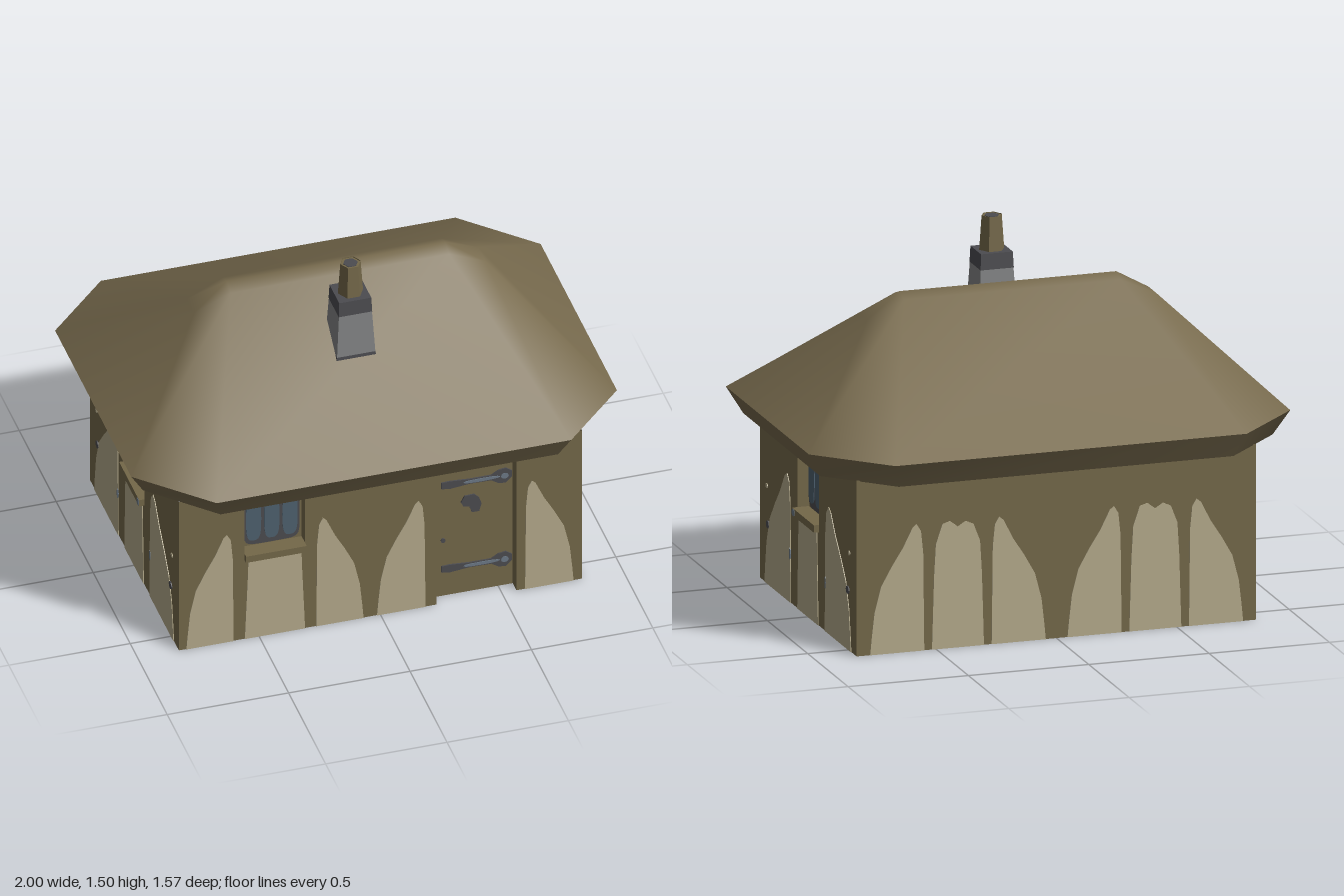
import * as THREE from 'three';
import { toCreasedNormals } from 'three/addons/utils/BufferGeometryUtils.js';

const mat = (name, color) => new THREE.MeshStandardMaterial({ name, color, side: THREE.DoubleSide });

export function createModel() {
  const M = {
    thatch: mat('thatch brown', 0x786b4e),
    timber: mat('timber brown', 0x746849),
    plaster: mat('pale plaster', 0xb4aa8b),
    stone: mat('grey stone', 0x828384),
    dark: mat('dark iron', 0x4c4c50),
    glass: mat('blue glass', 0x4e616f),
    steel: mat('worn steel', 0x6c7986),
  };
  const house = new THREE.Group();
  house.name = 'cottage';

  const add = (parent, name, geo, material, x = 0, y = 0, z = 0) => {
    const m = new THREE.Mesh(geo, material);
    m.name = name;
    m.position.set(x, y, z);
    parent.add(m);
    return m;
  };
  const shapeOf = (pts) => new THREE.Shape(pts.map(([x, y]) => new THREE.Vector2(x, y)));
  // thin plate centred on its plane, so it shows on both sides
  const plate = (pts, t = 0.006) =>
    new THREE.ExtrudeGeometry(shapeOf(pts), { depth: t, bevelEnabled: false }).translate(0, 0, -t / 2);
  // rounded-rectangle outline (superellipse)
  const blob = (cx, cy, rx, ry, p = 0.6, n = 24) =>
    Array.from({ length: n }, (_, i) => {
      const a = (i / n) * Math.PI * 2, c = Math.cos(a), s = Math.sin(a);
      return [cx + rx * Math.sign(c) * Math.abs(c) ** p, cy + ry * Math.sign(s) * Math.abs(s) ** p];
    });

  // ---- walls -------------------------------------------------------------
  const WALL_TOP = 0.72, RECESS = 0.05;

  const recess = (wall, name, x0, x1, y0, y1, openBottom) => {
    const g = new THREE.BoxGeometry(x1 - x0, y1 - y0, RECESS);
    // drop the front face, and the bottom one for the doorway
    g.setIndex([...g.index.array].filter((_, i) => !(i >= 24 && i < 30) && !(openBottom && i >= 18 && i < 24)));
    g.clearGroups();
    add(wall, name, g, M.timber, (x0 + x1) / 2, (y0 + y1) / 2, -RECESS / 2);
  };

  const addWindow = (wall, cx, w) => {
    recess(wall, 'windowRecess', cx - w / 2, cx + w / 2, 0.39, 0.68);
    add(wall, 'windowSill', new THREE.BoxGeometry(w, 0.03, 0.07), M.timber, cx, 0.398, -0.013);
    add(wall, 'windowLeading', plate(blob(cx, 0.538, w * 0.46, 0.12, 0.3)), M.dark, 0, 0, -RECESS + 0.004);
    for (const s of [-1, 0, 1])
      add(wall, 'windowPane', plate(blob(cx + s * w * 0.3, 0.54, w * 0.125, 0.1)), M.glass, 0, 0, -RECESS + 0.008);
  };

  // outer plaster field: steep inner edge, long curved outer edge
  const FIELD = [[0, 0], [0.02, 0.4], [0.06, 0.49], [0.14, 0.52], [0.22, 0.505], [0.4, 0.425],
    [0.6, 0.355], [0.8, 0.275], [0.92, 0.17], [0.97, 0.07], [1, 0]];
  const addPlaster = (wall, cx, inner, outer, midHalf, underWindow) => {
    for (const s of [-1, 1])
      add(wall, 'plasterField', plate(FIELD.map(([u, y]) => [cx + s * (inner + u * (outer - inner)), y])), M.plaster);
    if (!midHalf) return;
    const top = underWindow
      ? [[0.9, 0.3], [0.88, 0.385], [-0.88, 0.385], [-0.9, 0.3]]
      : [[0.92, 0.3], [0.85, 0.43], [0.6, 0.5], [0.3, 0.515], [0, 0.495], [-0.3, 0.52], [-0.6, 0.51], [-0.85, 0.43], [-0.92, 0.3]];
    add(wall, 'plasterMiddle', plate([[-1, 0], [1, 0], ...top].map(([u, y]) => [cx + u * midHalf, y])), M.plaster);
  };

  const addWall = (name, half, x, z, turn, { windows = [], door }) => {
    const wall = new THREE.Group();
    wall.name = name;
    wall.position.set(x, 0, z);
    wall.rotation.y = turn;
    house.add(wall);
    const notch = door ? [[door[0], 0], [door[0], door[2]], [door[1], door[2]], [door[1], 0]] : [];
    const s = shapeOf([[-half, 0], ...notch, [half, 0], [half, WALL_TOP], [-half, WALL_TOP]]);
    for (const [c, w] of windows) {
      const a = c - w / 2, b = c + w / 2;
      s.holes.push(shapeOf([[a, 0.39], [a, 0.68], [b, 0.68], [b, 0.39]]));
    }
    add(wall, 'wallTimber', new THREE.ShapeGeometry(s), M.timber);
    windows.forEach(([c, w]) => addWindow(wall, c, w));
    return wall;
  };

  const front = addWall('frontWall', 0.83, 0, 0.6, 0, { windows: [[-0.435, 0.25]], door: [0.23, 0.56, 0.65] });
  addPlaster(front, -0.435, 0.17, 0.365, 0.124, true);
  addPlaster(front, 0.39, 0.205, 0.405);

  const back = addWall('backWall', 0.83, 0, -0.6, Math.PI, {});
  for (const s of [-1, 1]) addPlaster(back, s * 0.41, 0.14, 0.365, 0.108);

  for (const s of [-1, 1]) {
    const side = addWall(s > 0 ? 'leftWall' : 'rightWall', 0.6, s * 0.83, 0, s * Math.PI / 2, { windows: [[0, 0.27]] });
    addPlaster(side, 0, 0.212, 0.535, 0.128, true);
    // knots and nail heads beside the fields
    for (const k of [-1, 1]) {
      add(side, 'ironStud', plate(blob(k * 0.495, 0.245, 0.018, 0.016, 1, 10), 0.009), M.dark);
      add(side, 'paleKnot', plate(blob(k * 0.51, 0.4, 0.012, 0.01, 1, 8)), M.plaster);
      add(side, 'steelFleck', plate(blob(k * 0.219, 0.2, 0.007, 0.025, 1, 8), 0.009), M.steel);
    }
    add(side, 'steelSillFleck', plate(blob(s * -0.12, 0.397, 0.014, 0.014, 0.4, 8)), M.steel, 0, 0, 0.021);
  }

  // ---- door --------------------------------------------------------------
  const door = new THREE.Group();
  door.name = 'door';
  front.add(door);
  recess(door, 'doorRecess', 0.23, 0.56, 0, 0.65, true);
  add(door, 'doorLintel', new THREE.BoxGeometry(0.415, 0.065, 0.03), M.timber, 0.393, 0.6825, 0);
  add(door, 'lintelFleck', plate(blob(0.588, 0.68, 0.01, 0.028, 0.4, 8)), M.steel, 0, 0, 0.014);
  const dz = -RECESS + 0.004;
  for (const y of [0.535, 0.13]) {
    add(door, 'hingeStrap', plate([[0.265, -0.013], [0.3, -0.018], [0.38, -0.01], [0.47, -0.012], [0.5, -0.032],
      [0.53, -0.035], [0.555, -0.01], [0.555, 0.018], [0.53, 0.035], [0.5, 0.03], [0.47, 0.012], [0.38, 0.012],
      [0.3, 0.018], [0.265, 0.016]]), M.dark, 0, y, dz);
    add(door, 'hingeShine', plate(blob(0.43, y + 0.001, 0.075, 0.007, 0.8, 12)), M.steel, 0, 0, dz + 0.003);
    add(door, 'hingeKnobShine', plate(blob(0.525, y, 0.016, 0.013, 1, 12)), M.steel, 0, 0, dz + 0.003);
  }
  add(door, 'latch', plate([[0.345, 0.44], [0.36, 0.468], [0.4, 0.47], [0.42, 0.45], [0.43, 0.42], [0.42, 0.385],
    [0.39, 0.385], [0.38, 0.415], [0.355, 0.42]]), M.dark, 0, 0, dz);
  add(door, 'keyhole', plate(blob(0.272, 0.27, 0.01, 0.01, 1, 8)), M.dark, 0, 0, dz);

  // ---- roof --------------------------------------------------------------
  // octagonal ring: long-side corners (x1, y1, z1) and end corners (x2, y2, z2)
  const ring = (x1, y1, z1, x2, y2, z2) => [
    [-x1, y1, z1], [x1, y1, z1], [x2, y2, z2], [x2, y2, -z2],
    [x1, y1, -z1], [-x1, y1, -z1], [-x2, y2, -z2], [-x2, y2, z2]];
  const bottom = ring(0.695, 0.715, 0.72, 0.94, 0.715, 0.475);
  const eave = ring(0.73, 0.82, 0.783, 1, 0.82, 0.515);
  const crest = ring(0.45, 1.28, 0.055, 0.6, 1.21, 0.05);
  const strip = [];
  for (let i = 0; i < 8; i++) {
    const j = (i + 1) % 8;
    strip.push(i, j, j + 8, i, j + 8, i + 8);
  }
  const surface = (points, index) => {
    const g = new THREE.BufferGeometry();
    g.setAttribute('position', new THREE.Float32BufferAttribute(points.flat(), 3));
    g.setIndex(index);
    g.computeVertexNormals();
    return g;
  };
  const R = 16, L = 17, c = 8; // ridge ends, first crest vertex
  const cap = [[0, 1, R], [0, R, L], [1, 2, R], [2, 3, R], [3, 4, R], [4, 5, L], [4, L, R], [5, 6, L], [6, 7, L], [7, 0, L]]
    .flat().map((v) => (v < 8 ? v + c : v));
  add(house, 'roof', surface([...eave, ...crest, [0.45, 1.3, 0], [-0.45, 1.3, 0]], [...strip, ...cap]), M.thatch);
  add(house, 'roofEaves', surface([...bottom, ...eave], strip), M.thatch);
  const under = [];
  for (let i = 1; i < 7; i++) under.push(0, i + 1, i);
  add(house, 'roofUnderside', surface(bottom, under), M.thatch);

  // ---- chimney -----------------------------------------------------------
  const chimney = new THREE.Group();
  chimney.name = 'chimney';
  chimney.position.set(-0.026, 0, 0.28);
  house.add(chimney);
  const frustum = (name, rTop, rBottom, y0, y1, sides, material, open = false) => {
    const g = new THREE.CylinderGeometry(rTop, rBottom, y1 - y0, sides, 1, open).rotateY(Math.PI / sides);
    return add(chimney, name, toCreasedNormals(g, 0.4), material, 0, (y0 + y1) / 2, 0);
  };
  const q = Math.SQRT1_2; // half width to corner radius
  frustum('chimneyFoot', 0.159 * q, 0.161 * q, 1.088, 1.102, 4, M.dark);
  frustum('chimneyStack', 0.135 * q, 0.158 * q, 1.1, 1.3, 4, M.stone);
  frustum('chimneyCap', 0.132 * q, 0.138 * q, 1.29, 1.355, 4, M.dark);
  frustum('chimneyPot', 0.042, 0.052, 1.355, 1.495, 6, M.timber, true);
  frustum('chimneyPotMouth', 0.03, 0.03, 1.484, 1.494, 6, M.dark);
  frustum('chimneyPotRim', 0.041, 0.042, 1.48, 1.492, 6, M.timber);

  return house;
}
